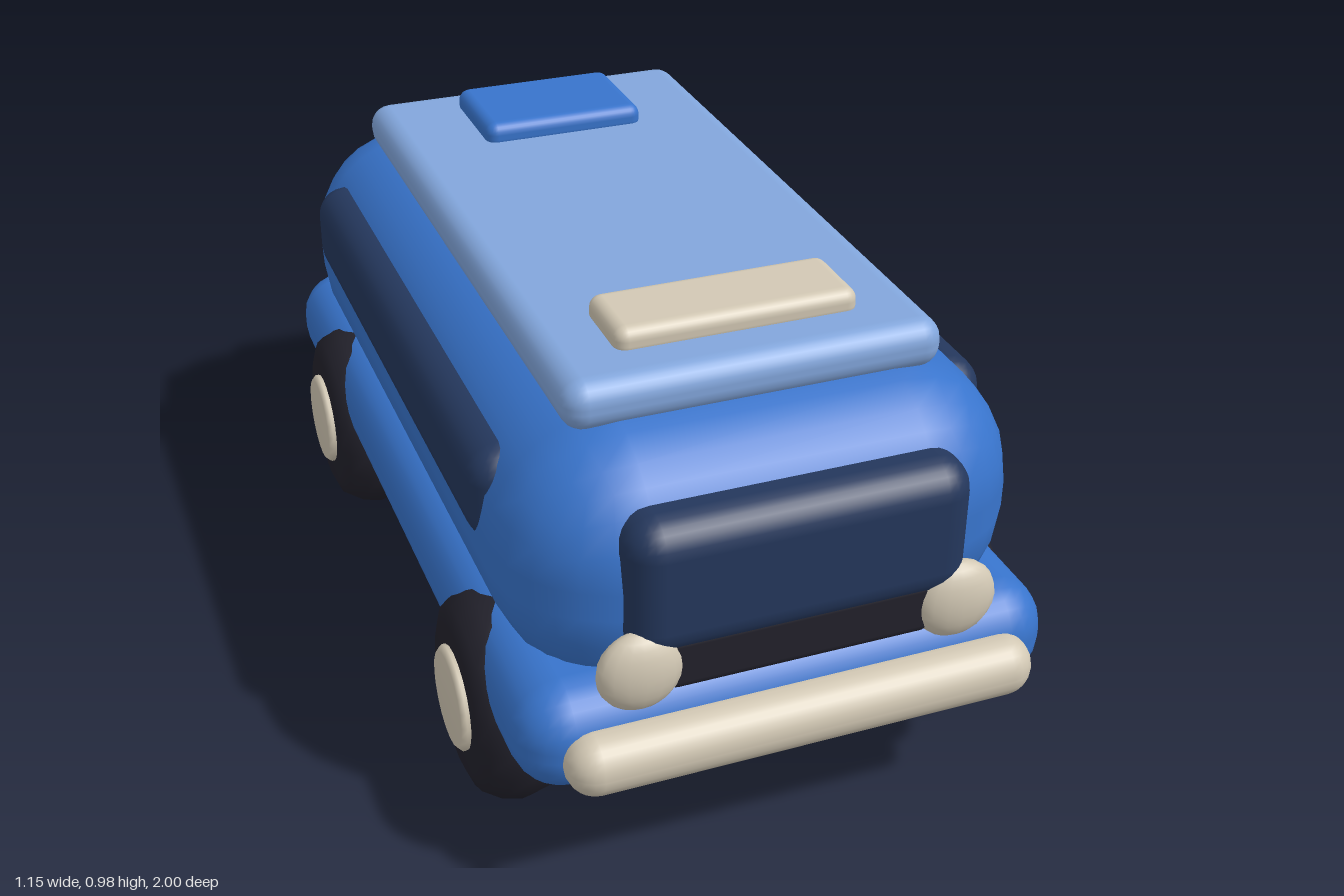
import * as THREE from 'three';
import { RoundedBoxGeometry } from 'three/addons/geometries/RoundedBoxGeometry.js';

const material = (name, color) => {
  const m = new THREE.MeshStandardMaterial({ color });
  m.name = name;
  return m;
};

export function createModel() {
  const van = new THREE.Group();
  van.name = 'van';
  const blue = material('body blue', 0x3874cc);
  const lightBlue = material('roof blue', 0x82a6dc);
  const navy = material('window navy', 0x24375c);
  const black = material('tyre black', 0x22212b);
  const cream = material('trim cream', 0xd2c8b4);

  const add = (name, geometry, mat, x = 0, y = 0, z = 0) => {
    const mesh = new THREE.Mesh(geometry, mat);
    mesh.name = name;
    mesh.position.set(x, y, z);
    van.add(mesh);
    return mesh;
  };
  // Rounded box given by its lower and upper limits on each axis
  const box = (name, mat, [x0, x1], [y0, y1], [z0, z1], radius, segments = 3) =>
    add(name, new RoundedBoxGeometry(x1 - x0, y1 - y0, z1 - z0, segments, radius), mat,
      (x0 + x1) / 2, (y0 + y1) / 2, (z0 + z1) / 2);

  // Body shells
  box('chassis', navy, [-0.43, 0.43], [0.215, 0.3], [-0.83, 0.83], 0.01, 1);
  box('lowerBody', blue, [-0.535, 0.535], [0.22, 0.44], [-0.945, 0.935], 0.1);
  box('upperBody', blue, [-0.51, 0.51], [0.33, 0.865], [-0.91, 0.895], 0.24);

  // Roof and its fittings
  box('roof', lightBlue, [-0.372, 0.372], [0.84, 0.94], [-0.72, 0.705], 0.045);
  box('roofLight', cream, [-0.24, 0.24], [0.92, 0.98], [0.43, 0.6], 0.025);
  box('roofHatch', blue, [-0.18, 0.18], [0.92, 0.98], [-0.635, -0.385], 0.025);

  // Glazing and grille
  box('windshield', navy, [-0.335, 0.335], [0.49, 0.772], [0.78, 0.935], 0.065);
  box('grille', black, [-0.26, 0.26], [0.42, 0.535], [0.82, 0.925], 0.02);
  box('rearWindow', navy, [-0.28, 0.28], [0.54, 0.745], [-0.94, -0.78], 0.05);
  box('leftWindow', navy, [0.38, 0.522], [0.575, 0.778], [-0.68, 0.625], 0.065);
  box('rightWindow', navy, [-0.522, -0.38], [0.575, 0.778], [-0.68, 0.625], 0.065);

  // Bumpers
  box('frontBumper', cream, [-0.465, 0.465], [0.26, 0.38], [0.88, 1], 0.058);
  box('rearBumper', cream, [-0.42, 0.42], [0.27, 0.375], [-1, -0.895], 0.05);

  // Lathe profiles: [radius, distance along the axle]
  const lathe = (points, sides) => new THREE.LatheGeometry(
    points.map(([r, a]) => new THREE.Vector2(r, a)), sides).rotateZ(-Math.PI / 2);
  const tyre = lathe([[0, -0.09], [0.15, -0.09], [0.185, -0.076], [0.208, -0.04],
    [0.217, 0], [0.208, 0.04], [0.185, 0.076], [0.15, 0.09], [0, 0.09]], 20);
  const hub = lathe([[0, -0.03], [0.095, -0.03], [0.105, -0.02], [0.105, 0.018],
    [0.095, 0.03], [0.09, 0.03], [0, 0.03]], 20);
  const lamp = new THREE.SphereGeometry(0.082, 16, 12).scale(1, 1, 0.5);

  for (const side of [1, -1]) {
    const label = side > 0 ? 'left' : 'right';
    add(label + 'Headlight', lamp, cream, side * 0.312, 0.477, 0.91);
    for (const end of [1, -1]) {
      const place = label + (end > 0 ? 'Front' : 'Rear');
      add(place + 'Tyre', tyre, black, side * 0.468, 0.217, end * 0.56);
      add(place + 'Hub', hub, cream, side * 0.545, 0.22, end * 0.56);
    }
  }
  return van;
}
